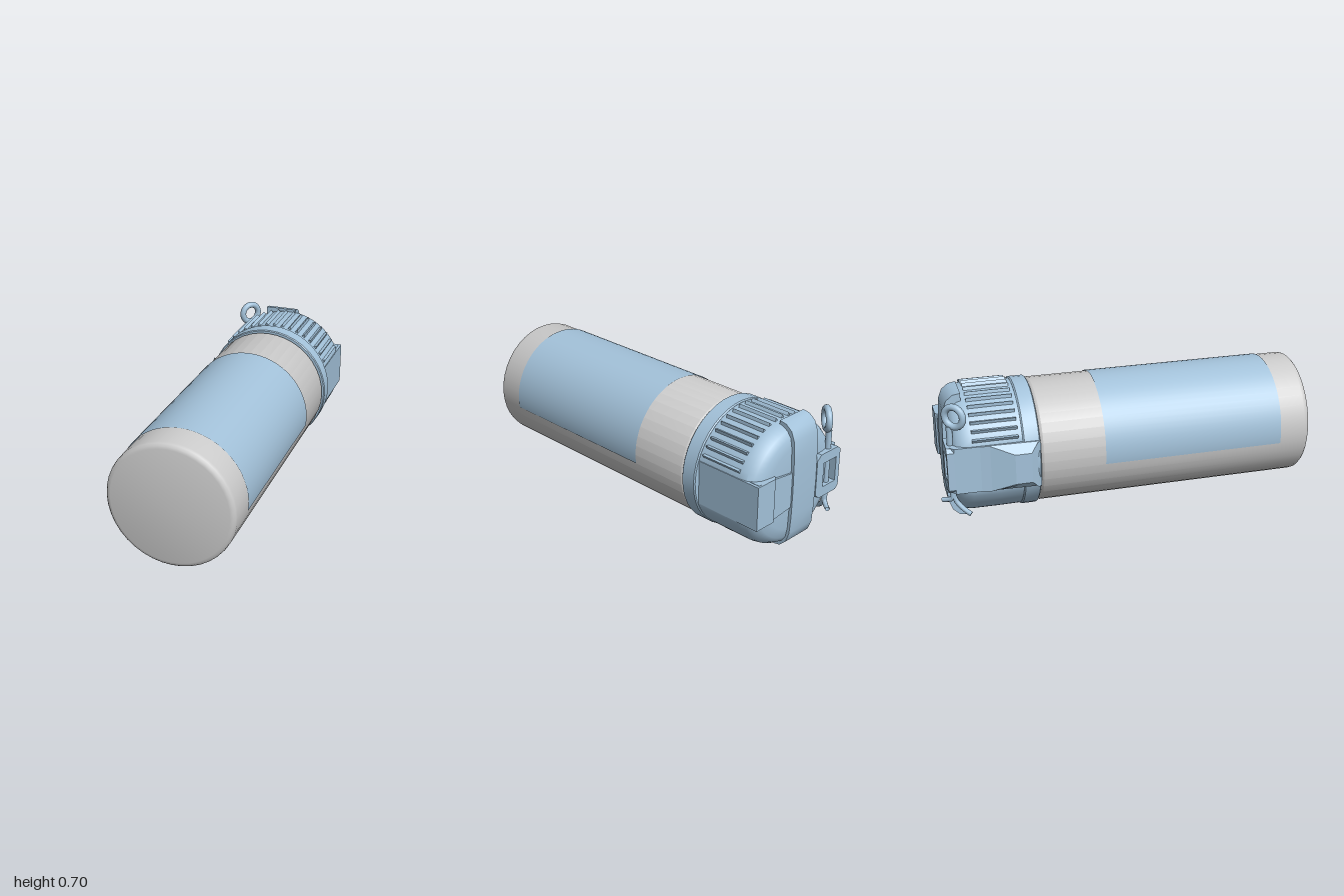
import * as THREE from 'three';
import { toCreasedNormals } from 'three/addons/utils/BufferGeometryUtils.js';

const CX = 0.01, CY = 0.348; // axis of the bottle, which lies along z
const V2 = (a) => a.map(([x, y]) => new THREE.Vector2(x, y));

export function createModel() {
  const root = new THREE.Group();
  const grey = new THREE.MeshStandardMaterial({ color: 0xcccccc });
  const blue = new THREE.MeshStandardMaterial({ color: 0xa3c2da });
  const blueThin = new THREE.MeshStandardMaterial({ color: 0xa3c2da, side: THREE.DoubleSide });

  const add = (name, geo, mat = blue, parent = root) => {
    const m = new THREE.Mesh(geo, mat);
    m.name = name;
    parent.add(m);
    return m;
  };
  // Profile of [radius, -z] pairs turned about the bottle axis
  const turned = (pts, seg = 40) => new THREE.LatheGeometry(V2(pts), seg).rotateX(-Math.PI / 2);
  const place = (g) => g.translate(CX, CY, 0);
  // Outline of [x, z] pairs extruded in y from y0 to y1
  const plan = (pts, y0, y1) =>
    new THREE.ExtrudeGeometry(new THREE.Shape(V2(pts.map(([x, z]) => [x, -z]))), { depth: y1 - y0, bevelEnabled: false })
      .rotateX(-Math.PI / 2).translate(0, y0, 0);

  // Flask body with a rounded base edge
  add('body', place(toCreasedNormals(turned([
    [0, -1], [0.305, -1], [0.32, -0.996], [0.329, -0.986], [0.332, -0.97],
    [0.332, 0.475], [0.322, 0.49], [0.31, 0.5], [0, 0.5],
  ]), 0.6)), grey);

  // Wrapped label over the upper part
  const half = 1.715;
  add('label', place(new THREE.CylinderGeometry(0.336, 0.336, 0.98, 36, 1, true, -half, 2 * half)
    .rotateX(-Math.PI / 2).translate(0, 0, 0.34)), blueThin);

  // Collar under the cap
  add('collar', place(toCreasedNormals(turned([
    [0.3, 0.492], [0.338, 0.492], [0.343, 0.497], [0.343, 0.573], [0.338, 0.58], [0.3, 0.58],
  ]), 0.6)));

  // Cap: domed end, with both sides cut flat
  const cap = turned([
    [0.32, 0.57], [0.336, 0.58], [0.337, 0.7], [0.336, 0.84], [0.328, 0.88],
    [0.31, 0.91], [0.28, 0.932], [0.23, 0.942], [0.12, 0.946], [0, 0.948],
  ], 64);
  const p = cap.attributes.position;
  for (let i = 0; i < p.count; i++) p.setX(i, THREE.MathUtils.clamp(p.getX(i), -0.312, 0.312));
  add('cap', place(toCreasedNormals(cap, 0.5)));

  // Grip ridges around the top of the cap
  const grip = new THREE.Group();
  grip.name = 'gripRidges';
  grip.position.set(CX, CY, 0);
  root.add(grip);
  const ridge = toCreasedNormals(
    new THREE.CylinderGeometry(0.015, 0.015, 0.235, 3).rotateX(-Math.PI / 2), 0.3);
  for (let i = 0; i <= 16; i++) {
    const a = THREE.MathUtils.degToRad(27 + i * 7.9);
    const m = add('ridge', ridge, blue, grip);
    m.position.set(0.337 * Math.cos(a), 0.337 * Math.sin(a), -0.718);
    m.rotation.z = a - Math.PI / 2;
  }

  // Vertical strap over the end of the cap
  const strapPts = [
    [0.86, 0.695], [0.9, 0.688], [0.935, 0.66], [0.955, 0.61], [0.962, 0.5], [0.964, 0.35],
    [0.962, 0.2], [0.955, 0.1], [0.935, 0.045], [0.9, 0.012], [0.86, 0.004],
  ];
  const strap = new THREE.ExtrudeGeometry(new THREE.Shape(V2(strapPts)), { depth: 0.18, bevelEnabled: false })
    .rotateY(Math.PI / 2).translate(-0.12, 0, 0);
  add('strap', toCreasedNormals(strap, 0.6));

  // Waisted cross band on the end of the cap
  const band = new THREE.Shape(V2([
    [-0.14, 0.24], [0.04, 0.255], [0.2, 0.235], [0.31, 0.225],
    [0.31, 0.47], [0.2, 0.46], [0.04, 0.44], [-0.14, 0.455],
  ]));
  add('crossBand', new THREE.ExtrudeGeometry(band, { depth: 0.055, bevelEnabled: false }).translate(0, 0, -0.955));

  // Left side plate turning the corner onto the end
  add('sidePlate', plan([
    [0.3, -0.585], [0.325, -0.585], [0.325, -0.965], [0.2, -0.965], [0.182, -0.945], [0.182, -0.9], [0.3, -0.9],
  ], 0.23, 0.468));

  // Right latch with a raised, tapered thumb bump
  const latch = plan([
    [-0.28, -0.49], [-0.318, -0.492], [-0.332, -0.51], [-0.354, -0.545], [-0.354, -0.63],
    [-0.318, -0.75], [-0.308, -0.8], [-0.306, -0.93], [-0.28, -0.95],
  ], 0.222, 0.472);
  const q = latch.attributes.position;
  for (let i = 0; i < q.count; i++) {
    if (q.getX(i) < -0.34) q.setY(i, q.getY(i) < 0.35 ? 0.262 : 0.425);
  }
  latch.computeVertexNormals();
  add('latch', latch);

  // Hinge frame with a window showing the pin
  const frame = new THREE.Shape(V2([
    [-0.285, 0.225], [-0.15, 0.225], [-0.12, 0.25], [-0.12, 0.445], [-0.15, 0.47],
    [-0.285, 0.47], [-0.306, 0.45], [-0.306, 0.245],
  ]));
  frame.holes.push(new THREE.Path(V2([[-0.275, 0.28], [-0.275, 0.415], [-0.175, 0.415], [-0.175, 0.28]])));
  add('hingeFrame', new THREE.ExtrudeGeometry(frame, { depth: 0.09, bevelEnabled: false }).translate(0, 0, -0.968));

  // Split pin: shaft, ring at the top, two spread legs below
  const pin = new THREE.Group();
  pin.name = 'splitPin';
  root.add(pin);
  add('shaft', new THREE.CylinderGeometry(0.016, 0.016, 0.4, 12).translate(-0.235, 0.37, -0.94), blue, pin);
  const ring = add('ring', new THREE.TorusGeometry(0.053, 0.018, 12, 28), blue, pin);
  ring.position.set(-0.245, 0.621, -0.915);
  ring.rotation.y = 0.87;
  const legs = [
    [[-0.235, 0.19, -0.94], [-0.24, 0.15, -0.925], [-0.262, 0.115, -0.895], [-0.285, 0.09, -0.86]],
    [[-0.235, 0.19, -0.94], [-0.23, 0.165, -0.95], [-0.215, 0.155, -0.97], [-0.2, 0.15, -0.992]],
  ];
  for (const pts of legs) {
    const path = new THREE.CatmullRomCurve3(pts.map((v) => new THREE.Vector3(...v)));
    add('leg', new THREE.TubeGeometry(path, 10, 0.013, 8), blueThin, pin);
  }

  return root;
}
